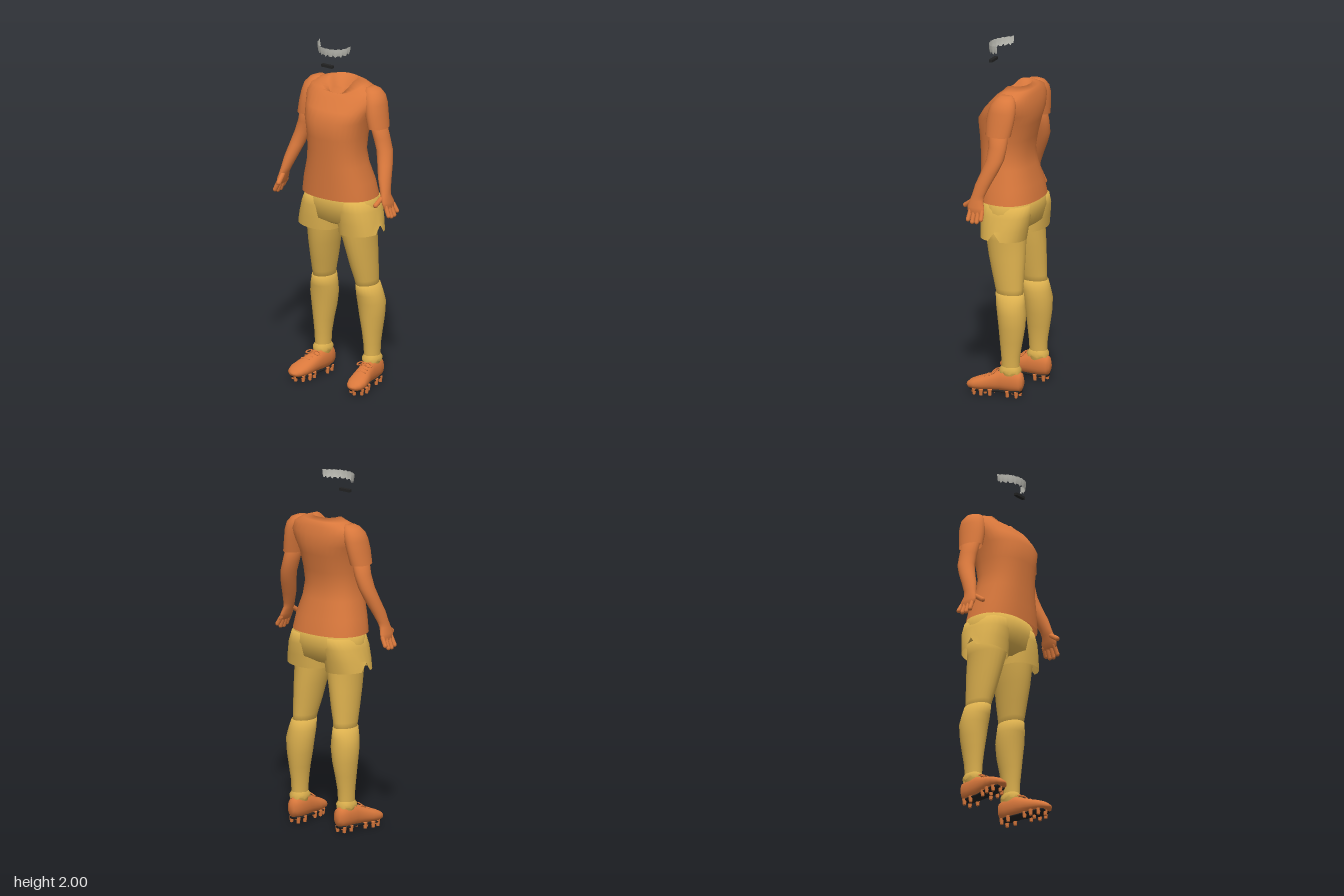
import * as THREE from 'three';

const mat = (name, color, side = THREE.FrontSide) => {
  const m = new THREE.MeshStandardMaterial({ color, side });
  m.name = name;
  return m;
};

// Skin over closed rings stacked along y; each ring is [y, centreX, radiusX, zFront, zBack].
// bend(angle, ringIndex) lifts single points; power below 1 makes rings boxier.
function loft(rings, { n = 24, power = 0.9, bend = () => 0, capLow = true, capHigh = true } = {}) {
  const pos = [], idx = [];
  const pw = v => Math.sign(v) * Math.abs(v) ** power;
  rings.forEach(([y, cx, rx, zf, zb], r) => {
    for (let i = 0; i < n; i++) {
      const t = (i / n) * Math.PI * 2;
      pos.push(cx + rx * pw(Math.cos(t)), y + bend(t, r), (zf + zb) / 2 + ((zf - zb) / 2) * pw(Math.sin(t)));
    }
  });
  for (let r = 0; r < rings.length - 1; r++) {
    for (let i = 0; i < n; i++) {
      const a = r * n + i, b = r * n + (i + 1) % n;
      idx.push(a, a + n, b, b, a + n, b + n);
    }
  }
  const cap = (r, up) => {
    const [y, cx, , zf, zb] = rings[r], c = pos.length / 3;
    pos.push(cx, y, (zf + zb) / 2);
    for (let i = 0; i < n; i++) {
      const a = r * n + i, b = r * n + (i + 1) % n;
      idx.push(c, ...(up ? [b, a] : [a, b]));
    }
  };
  if (capLow) cap(0, false);
  if (capHigh) cap(rings.length - 1, true);
  const g = new THREE.BufferGeometry();
  g.setAttribute('position', new THREE.Float32BufferAttribute(pos, 3));
  g.setIndex(idx);
  g.computeVertexNormals();
  return g;
}

// Rounded rod between two points
function rod(a, b, r) {
  const p = new THREE.Vector3(...a), q = new THREE.Vector3(...b), d = q.clone().sub(p);
  const g = new THREE.CapsuleGeometry(r, d.length(), 4, 10);
  g.applyQuaternion(new THREE.Quaternion().setFromUnitVectors(new THREE.Vector3(0, 1, 0), d.normalize()));
  return g.translate(...p.add(q).multiplyScalar(0.5).toArray());
}

// Mirror across x = 0, keeping faces outward
function mirrored(g) {
  const m = g.clone().scale(-1, 1, 1), ix = m.index.array;
  for (let i = 0; i < ix.length; i += 3) [ix[i], ix[i + 1]] = [ix[i + 1], ix[i]];
  m.computeVertexNormals();
  return m;
}

export function createModel() {
  const model = new THREE.Group();
  model.name = 'footballPlayer';
  const orange = mat('orange', 0xd9783c, THREE.DoubleSide);
  const gold = mat('gold', 0xdcb04e, THREE.DoubleSide);
  const black = mat('black', 0x222222);
  const grey = mat('grey', 0xb8b8b0, THREE.DoubleSide);

  const add = (name, g, m) => {
    const mesh = new THREE.Mesh(g, m);
    mesh.name = name;
    model.add(mesh);
  };
  const pair = (name, g, m) => {
    add(name + 'Left', g, m);
    add(name + 'Right', mirrored(g), m);
  };

  // Shirt body, ending in a V neck that turns inward
  const drops = { 8: 0.02, 9: 0.05, 10: 0.08, 11: 0.06 };
  add('shirt', loft([
    [1.11, 0, 0.222, 0.155, -0.172], [1.2, 0, 0.205, 0.158, -0.155], [1.3, 0, 0.176, 0.16, -0.125],
    [1.38, 0, 0.165, 0.165, -0.115], [1.46, 0, 0.17, 0.17, -0.128], [1.56, 0, 0.185, 0.178, -0.152],
    [1.62, 0, 0.205, 0.138, -0.165], [1.68, 0, 0.225, 0.085, -0.16], [1.725, 0, 0.205, 0.06, -0.148],
    [1.752, 0, 0.14, 0.052, -0.135], [1.77, 0, 0.082, 0.045, -0.108], [1.7, 0, 0.065, 0.02, -0.095],
  ], {
    n: 32, power: 0.85, capLow: false,
    bend: (t, r) => -(drops[r] || 0) * Math.max(0, Math.sin(t)) ** 1.6,
  }), orange);

  // Sleeves and arms
  pair('sleeve', loft([
    [1.527, 0.238, 0.053, 0.038, -0.108], [1.6, 0.224, 0.054, 0.043, -0.12], [1.66, 0.212, 0.056, 0.035, -0.125],
    [1.7, 0.2, 0.057, 0.022, -0.12], [1.73, 0.185, 0.045, 0, -0.105], [1.743, 0.175, 0.025, -0.02, -0.085],
  ], { power: 1, capLow: false }), orange);
  pair('arm', loft([
    [1.1, 0.364, 0.013, 0.088, -0.012], [1.135, 0.355, 0.019, 0.094, -0.008], [1.17, 0.343, 0.022, 0.085, 0.005],
    [1.2, 0.334, 0.027, 0.075, 0], [1.26, 0.317, 0.035, 0.062, -0.026], [1.33, 0.297, 0.041, 0.035, -0.06],
    [1.4, 0.277, 0.043, 0.014, -0.088], [1.47, 0.254, 0.044, 0.012, -0.094], [1.56, 0.232, 0.044, 0.02, -0.09],
  ], { n: 20, power: 1 }), orange);

  // Fingers and thumbs
  [[0.077, 1.066], [0.051, 1.056], [0.024, 1.058], [-0.003, 1.075]].forEach(([z, y], i) =>
    pair('finger' + (i + 1), rod([0.361, 1.115, z * 0.9 + 0.004], [0.384, y, z], 0.0125), orange));
  pair('thumb', rod([0.338, 1.165, 0.07], [0.328, 1.128, 0.122], 0.0135), orange);

  // Shorts: hips, then flared legs with a slit at the outer hem
  add('shortsHips', loft([
    [0.935, 0, 0.1, 0.05, -0.09], [0.97, 0, 0.225, 0.108, -0.15], [1.05, 0, 0.227, 0.123, -0.172],
    [1.13, 0, 0.212, 0.125, -0.168],
  ], { n: 32 }), gold);
  pair('shortsLeg', loft([
    [0.902, 0.137, 0.124, 0.108, -0.142], [0.97, 0.129, 0.121, 0.114, -0.153], [1.04, 0.12, 0.112, 0.118, -0.165],
    [1.1, 0.11, 0.1, 0.11, -0.16],
  ], {
    capLow: false,
    bend: (t, r) => r ? 0 : 0.01 * Math.cos(t) + (Math.cos(t) > 0.99 ? 0.05 : 0),
  }), gold);

  // Legs and socks
  pair('leg', loft([
    [0.56, 0.146, 0.054, 0.012, -0.138], [0.62, 0.143, 0.06, 0.028, -0.136], [0.7, 0.134, 0.071, 0.05, -0.138],
    [0.8, 0.125, 0.081, 0.076, -0.14], [0.9, 0.114, 0.094, 0.095, -0.138], [0.98, 0.114, 0.1, 0.1, -0.14],
  ], { power: 1 }), gold);
  pair('sock', loft([
    [0.1, 0.165, 0.04, -0.02, -0.125], [0.17, 0.166, 0.043, -0.024, -0.126], [0.24, 0.165, 0.046, -0.02, -0.13],
    [0.32, 0.164, 0.056, -0.012, -0.144], [0.4, 0.161, 0.07, -0.005, -0.156], [0.48, 0.159, 0.079, 0.004, -0.16],
    [0.53, 0.154, 0.074, 0.014, -0.152], [0.59, 0.147, 0.062, 0.023, -0.142],
  ], { power: 1 }), gold);
  // Ragged sock folds over the shoe opening
  pair('sockFold', loft([
    [0.14, 0.166, 0.05, -0.012, -0.135], [0.158, 0.166, 0.052, -0.012, -0.135], [0.175, 0.166, 0.042, -0.024, -0.126],
  ], { capLow: false, capHigh: false, bend: (t, r) => r ? 0 : 0.006 * Math.sin(t * 7) }), gold);

  // Shoes, skinned from heel to toe: [z, centreX, halfWidth, bottom, top]
  const alongZ = (s, o) => loft(s.map(([z, x, w, lo, hi]) => [z, x, w, -lo, -hi]), o).rotateX(Math.PI / 2);
  pair('shoe', alongZ([
    [-0.15, 0.164, 0.018, 0.06, 0.11], [-0.138, 0.164, 0.036, 0.035, 0.14], [-0.09, 0.165, 0.046, 0.027, 0.152],
    [-0.03, 0.169, 0.047, 0.027, 0.148], [0.02, 0.177, 0.049, 0.027, 0.128], [0.07, 0.188, 0.056, 0.024, 0.11],
    [0.115, 0.196, 0.057, 0.024, 0.094], [0.15, 0.199, 0.045, 0.028, 0.078], [0.168, 0.199, 0.025, 0.036, 0.062],
    [0.174, 0.199, 0.008, 0.045, 0.054],
  ]), orange);
  pair('sole', alongZ([
    [-0.135, 0.164, 0.024, 0.022, 0.04], [-0.09, 0.165, 0.037, 0.02, 0.036], [-0.02, 0.17, 0.034, 0.02, 0.036],
    [0.07, 0.188, 0.046, 0.017, 0.034], [0.115, 0.196, 0.046, 0.017, 0.034], [0.15, 0.198, 0.03, 0.021, 0.038],
  ], { power: 0.7 }), black);

  // Studs: [x, z]
  [[0.14, -0.12], [0.188, -0.12], [0.134, -0.07], [0.196, -0.07], [0.148, 0.035], [0.214, 0.03],
    [0.146, 0.08], [0.234, 0.075], [0.162, 0.122], [0.232, 0.118], [0.198, 0.142], [0.19, 0.07]].forEach(([x, z], i) =>
    pair('stud' + (i + 1), new THREE.CylinderGeometry(0.013, 0.009, 0.034, 8).translate(x, 0.017, z), orange));

  // Laces: cross bars and a bow
  [[0.035, 0.122], [0.06, 0.114], [0.012, 0.132]].forEach(([z, y], i) =>
    pair('lace' + (i + 1), rod([0.155 + z * 0.2, y - 0.004, z], [0.202 + z * 0.2, y - 0.004, z], 0.005), orange));
  for (const s of [-1, 1]) {
    const loop = new THREE.TorusGeometry(0.014, 0.004, 6, 14).scale(1.5, 0.8, 1).rotateX(-1).rotateZ(-s * 0.35);
    pair(s < 0 ? 'innerBow' : 'outerBow', loop.translate(0.173 + s * 0.027, 0.137, 0.012), orange);
  }

  // Curved, ragged band floating at head height
  const band = new THREE.PlaneGeometry(2, 1, 48, 3), p = band.attributes.position;
  for (let i = 0; i < p.count; i++) {
    const u = p.getX(i), v = p.getY(i) + 0.5, a = u * Math.PI / 2;
    const rag = 0.005 * Math.sin(u * 31) + 0.003 * Math.sin(u * 53);
    const top = 1.983 + 0.012 * u ** 4 + 0.3 * rag, low = 1.939 + 0.014 * u ** 4 + rag;
    const r = 0.93 + 0.07 * Math.sqrt(v);
    p.setXYZ(i, 0.104 * r * Math.sin(a), Math.min(2, low + (top - low) * v), 0.044 + 0.088 * r * Math.cos(a));
  }
  band.computeVertexNormals();
  add('headBand', band, grey);

  // Small dark bar below the band
  add('chinBar', new THREE.BoxGeometry(0.074, 0.015, 0.02).translate(0, 1.877, 0.118), black);

  return model;
}
